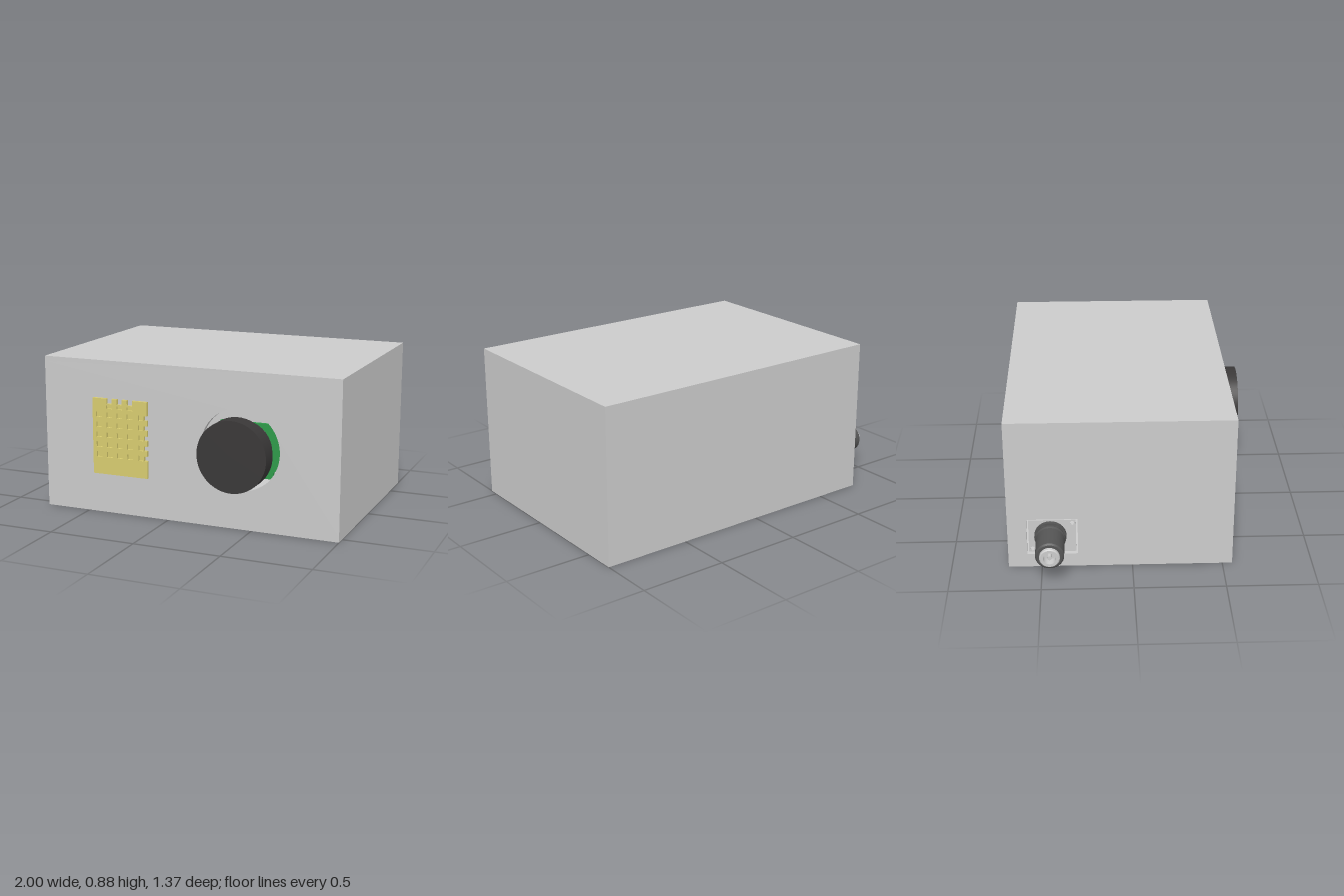
import * as THREE from 'three';

const L = -0.77, R = 1, H = 0.885, BACK = -0.685, FRONT = 0.555, T = 0.03;

const mat = (color) => new THREE.MeshStandardMaterial({ color, side: THREE.DoubleSide });

function rect(x0, y0, x1, y1, Type = THREE.Shape) {
  const s = new Type();
  s.moveTo(x0, y0).lineTo(x1, y0).lineTo(x1, y1).lineTo(x0, y1).closePath();
  return s;
}

function add(parent, name, geometry, material, x = 0, y = 0, z = 0) {
  const mesh = new THREE.Mesh(geometry, material);
  mesh.name = name;
  mesh.position.set(x, y, z);
  parent.add(mesh);
  return mesh;
}

const extrude = (shape, depth) =>
  new THREE.ExtrudeGeometry(shape, { depth, bevelEnabled: false, curveSegments: 40 });

function group(parent, name) {
  const g = new THREE.Group();
  g.name = name;
  parent.add(g);
  return g;
}

// Revolved part from [radius, height] pairs; sharp edges kept by doubling the corners
function turned(points, sides = 48) {
  const pts = [];
  points.forEach(([r, h], i) => {
    pts.push(new THREE.Vector2(r, h));
    if (i > 0 && i < points.length - 1) pts.push(new THREE.Vector2(r, h + 1e-5));
  });
  return new THREE.LatheGeometry(pts, sides);
}

export function createModel() {
  const model = new THREE.Group();
  model.name = 'sensorBox';
  const grey = mat(0xcccccc), black = mat(0x3a3838), dark = mat(0x555555);
  const silver = mat(0xd8d8d8), green = mat(0x2f9a4a), yellow = mat(0xd8cc70);

  // Hollow enclosure: plain walls, front with a round opening, side with a square one
  const box = group(model, 'enclosure');
  const cx = (L + R) / 2, cz = (FRONT + BACK) / 2, W = R - L, D = FRONT - BACK;
  add(box, 'topWall', new THREE.BoxGeometry(W, T, D), grey, cx, H - T / 2, cz);
  add(box, 'bottomWall', new THREE.BoxGeometry(W, T, D), grey, cx, T / 2, cz);
  add(box, 'backWall', new THREE.BoxGeometry(W, H - 2 * T, T), grey, cx, H / 2, BACK + T / 2);
  add(box, 'leftWall', new THREE.BoxGeometry(T, H - 2 * T, D - 2 * T), grey, R - T / 2, H / 2, cz);

  const front = rect(L, T, R, H - T);
  front.holes.push(new THREE.Path().absarc(0.43, 0.45, 0.23, 0, Math.PI * 2, true));
  add(box, 'frontWall', extrude(front, T), grey, 0, 0, FRONT - T);

  const side = rect(BACK + T, T, FRONT - T, H - T);
  side.holes.push(rect(-0.58, 0.08, -0.3, 0.3, THREE.Path));
  add(box, 'rightWall', extrude(side, T).rotateY(-Math.PI / 2), grey, L + T);

  // Rotary control: board, shaft and stepped knob
  const control = group(model, 'rotaryControl');
  const board = rect(0.27, 0.27, 0.63, 0.58);
  for (const [x, y] of [[0.3, 0.3], [0.6, 0.3], [0.3, 0.55], [0.6, 0.55]])
    board.holes.push(new THREE.Path().absarc(x, y, 0.018, 0, Math.PI * 2, true));
  add(control, 'controlBoard', extrude(board, 0.02), green, 0, 0, 0.42);
  add(control, 'encoderBody', new THREE.BoxGeometry(0.2, 0.2, 0.06), silver, 0.43, 0.44, 0.47);
  const knob = turned([[0, 0], [0.167, 0], [0.167, 0.085], [0.2, 0.085], [0.2, 0.185], [0, 0.185]], 64);
  add(control, 'knob', knob.rotateX(Math.PI / 2), black, 0.43, 0.44, 0.5);

  // Vented sensor: grille with cells and open notches over a solid body
  const sensor = group(model, 'ventedSensor');
  const x0 = -0.46, x1 = -0.12, y0 = 0.23, y1 = 0.67, n = 0.02;
  const cols = [-0.42, -0.355, -0.291, -0.227, -0.16];
  const rows = [0.345, 0.403, 0.461, 0.519, 0.577];
  const s = new THREE.Shape();
  s.moveTo(x0, y0).lineTo(x1, y0);
  for (const y of rows) // right notches
    s.lineTo(x1, y - 0.013).lineTo(x1 - n, y - 0.013).lineTo(x1 - n, y + 0.013).lineTo(x1, y + 0.013);
  s.lineTo(x1, y1);
  for (const x of [-0.227, -0.291, -0.355]) // top notches
    s.lineTo(x + 0.016, y1).lineTo(x + 0.016, y1 - 0.03).lineTo(x - 0.016, y1 - 0.03).lineTo(x - 0.016, y1);
  s.lineTo(x0, y1).closePath();
  for (const x of cols) {
    for (const y of rows) {
      const w = x === cols[4] ? 0.014 : 0.018;
      s.holes.push(rect(x - w, y - 0.015, x + w, y + 0.015, THREE.Path));
    }
  }
  for (const x of cols.slice(1, 4))
    s.holes.push(rect(x - 0.018, 0.612, x + 0.018, 0.632, THREE.Path));
  add(sensor, 'grille', extrude(s, 0.04), yellow, 0, 0, 0.531);
  add(sensor, 'sensorBody', new THREE.BoxGeometry(0.3, 0.4, 0.11), yellow, -0.29, 0.44, 0.503);

  // Side connector: mounting plate, washer, nut, barrel and silver socket along -x
  const jack = group(model, 'sideConnector');
  jack.position.set(L, 0.195, -0.45);
  const plate = rect(-0.12, -0.105, 0.14, 0.095);
  for (const [z, y] of [[-0.1, -0.085], [0.12, 0.075]])
    plate.holes.push(new THREE.Path().absarc(z, y, 0.012, 0, Math.PI * 2, true));
  add(jack, 'mountingPlate', extrude(plate, 0.012).rotateY(-Math.PI / 2), silver, 0.022);
  const alongX = (g) => g.rotateZ(Math.PI / 2);
  add(jack, 'washer', alongX(turned([[0, -0.02], [0.088, -0.02], [0.088, 0.012], [0, 0.012]])), dark);
  add(jack, 'nut', alongX(new THREE.CylinderGeometry(0.086, 0.086, 0.022, 6)), dark, -0.022);
  const barrel = turned([[0.075, 0], [0.083, 0.035], [0.078, 0.045], [0.078, 0.2], [0.07, 0.208],
    [0.052, 0.208], [0.052, 0.15]]);
  add(jack, 'barrel', alongX(barrel), dark);
  const socket = turned([[0.055, 0.1], [0.055, 0.225], [0.05, 0.23], [0.034, 0.23], [0.034, 0.18], [0, 0.18]]);
  add(jack, 'socket', alongX(socket), silver);
  add(jack, 'centrePin', alongX(new THREE.CylinderGeometry(0.012, 0.012, 0.05, 16)), silver, -0.2);

  return model;
}
